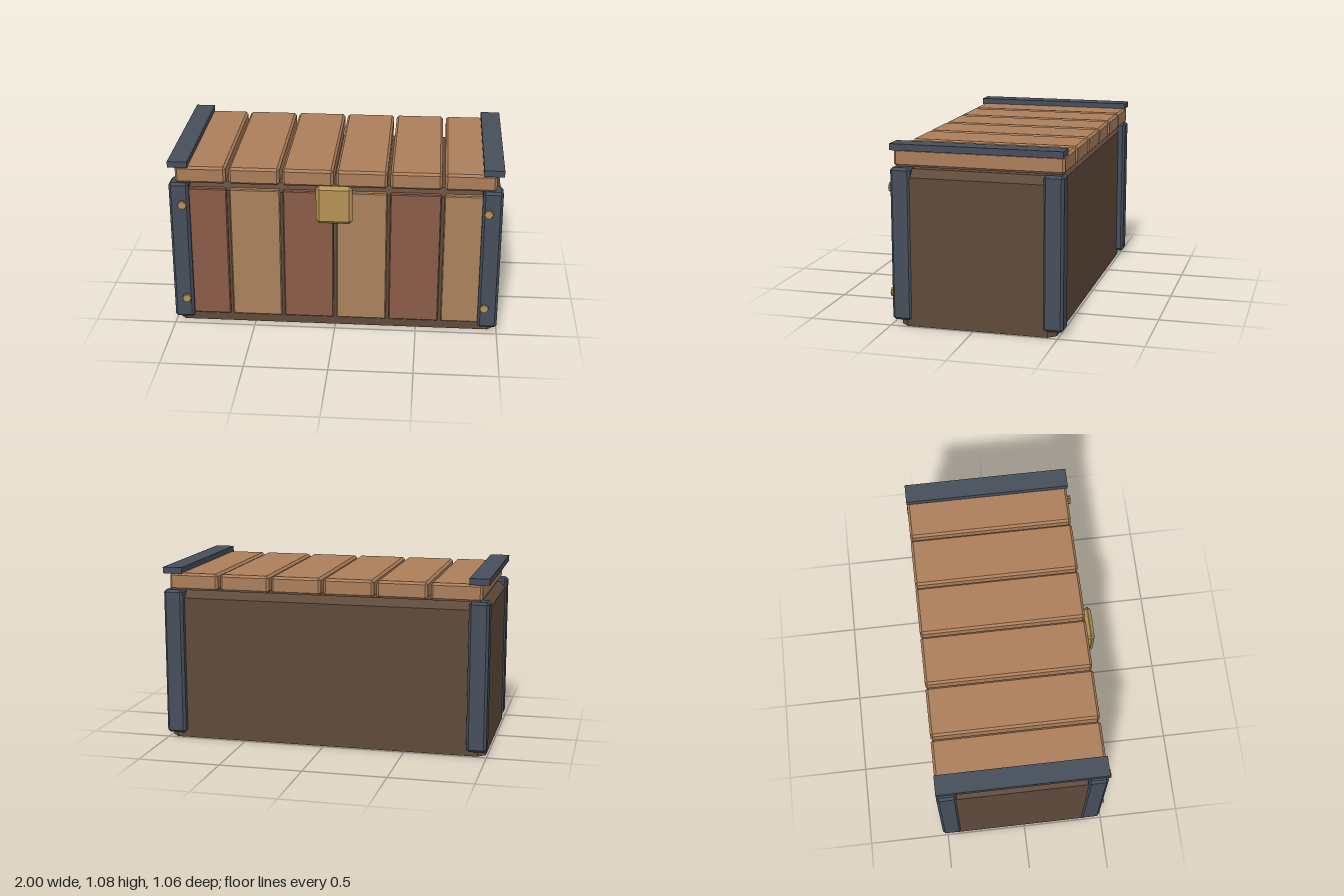
import * as THREE from 'three';

const mat = (name, color, side = THREE.FrontSide) =>
  new THREE.MeshStandardMaterial({ name, color, side });

// Box from [x0,x1] [y0,y1] [z0,z1] with every edge chamfered by c;
// openBottom leaves the sides straight down to y0 with no floor.
function chamferBox([x0, x1], [y0, y1], [z0, z1], c, openBottom = false) {
  const cx = (x0 + x1) / 2, cz = (z0 + z1) / 2;
  const hx = (x1 - x0) / 2, hz = (z1 - z0) / 2;
  const corners = [[1, 1], [1, -1], [-1, -1], [-1, 1]];
  const octagon = (y) => corners.flatMap(([sx, sz]) => {
    const a = [cx + sx * (hx - c), y, cz + sz * hz];
    const b = [cx + sx * hx, y, cz + sz * (hz - c)];
    return sx === sz ? [a, b] : [b, a];
  });
  const inset = (y) => corners.flatMap(([sx, sz]) => {
    const p = [cx + sx * (hx - c), y, cz + sz * (hz - c)];
    return [p, p];
  });
  const rings = openBottom
    ? [octagon(y0), octagon(y1 - c), inset(y1)]
    : [inset(y0), octagon(y0 + c), octagon(y1 - c), inset(y1)];
  const pos = [];
  const tri = (p, q, r) => {
    if (p !== q && q !== r && r !== p) pos.push(...p, ...q, ...r);
  };
  for (let k = 0; k < rings.length - 1; k++) {
    for (let i = 0; i < 8; i++) {
      const j = (i + 1) % 8, lo = rings[k], hi = rings[k + 1];
      tri(lo[i], lo[j], hi[j]);
      tri(lo[i], hi[j], hi[i]);
    }
  }
  const top = rings[rings.length - 1], bottom = rings[0];
  tri(top[0], top[2], top[4]);
  tri(top[0], top[4], top[6]);
  if (!openBottom) {
    tri(bottom[0], bottom[4], bottom[2]);
    tri(bottom[0], bottom[6], bottom[4]);
  }
  const geo = new THREE.BufferGeometry();
  geo.setAttribute('position', new THREE.Float32BufferAttribute(pos, 3));
  geo.computeVertexNormals();
  return geo;
}

// Small toothed disc for the rivets
function rivetGeometry() {
  const shape = new THREE.Shape();
  for (let i = 0; i < 20; i++) {
    const r = i % 2 ? 0.022 : 0.028, a = (i / 20) * Math.PI * 2;
    shape[i ? 'lineTo' : 'moveTo'](r * Math.cos(a), r * Math.sin(a));
  }
  shape.closePath();
  return new THREE.ExtrudeGeometry(shape, { depth: 0.02, bevelEnabled: false });
}

export function createModel() {
  const group = new THREE.Group();
  group.name = 'chest';
  const darkWood = mat('dark wood', 0x5f4a3b, THREE.DoubleSide);
  const lidWood = mat('lid wood', 0xab7e5a);
  const tanWood = mat('tan wood', 0xaa815c);
  const redWood = mat('red wood', 0x8a5b47);
  const iron = mat('blue iron', 0x464e5b);
  const brass = mat('brass', 0xb59354);

  const add = (name, geometry, material) => {
    const mesh = new THREE.Mesh(geometry, material);
    mesh.name = name;
    group.add(mesh);
    return mesh;
  };

  // Hollow body, open underneath
  add('body', chamferBox([-0.99, 0.99], [0, 0.93], [-0.485, 0.445], 0.045, true), darkWood);

  // Lid planks, with alternating front planks set through the front wall
  const pitch = 0.3225, half = 0.1525;
  for (let i = 0; i < 6; i++) {
    const x = (i - 2.5) * pitch, span = [x - half, x + half];
    add('lidPlank', chamferBox(span, [0.94, 1.045], [-0.525, 0.48], 0.014), lidWood);
    add('frontPlank', chamferBox(span, [0.055, 0.9], [0.415, 0.46], 0.006),
      i % 2 ? tanWood : redWood);
  }

  // Corner posts, lid bars and rivets on both sides
  const rivet = rivetGeometry();
  for (const s of [-1, 1]) {
    const span = s > 0 ? [0.88, 1] : [-1, -0.88];
    add('frontPost', chamferBox(span, [0.035, 0.94], [0.37, 0.49], 0.015), iron);
    add('backPost', chamferBox(span, [0.035, 0.94], [-0.53, -0.41], 0.015), iron);
    const bar = add('lidBar', new THREE.BoxGeometry(0.12, 0.038, 1.015), iron);
    bar.position.set(s * 0.94, 1.06, -0.02);
    for (const y of [0.18, 0.81]) {
      add('rivet', rivet, brass).position.set(s * 0.917, y, 0.5);
    }
  }

  // Latch plate
  add('latch', chamferBox([-0.11, 0.11], [0.72, 0.963], [0.485, 0.53], 0.021), brass);
  return group;
}
